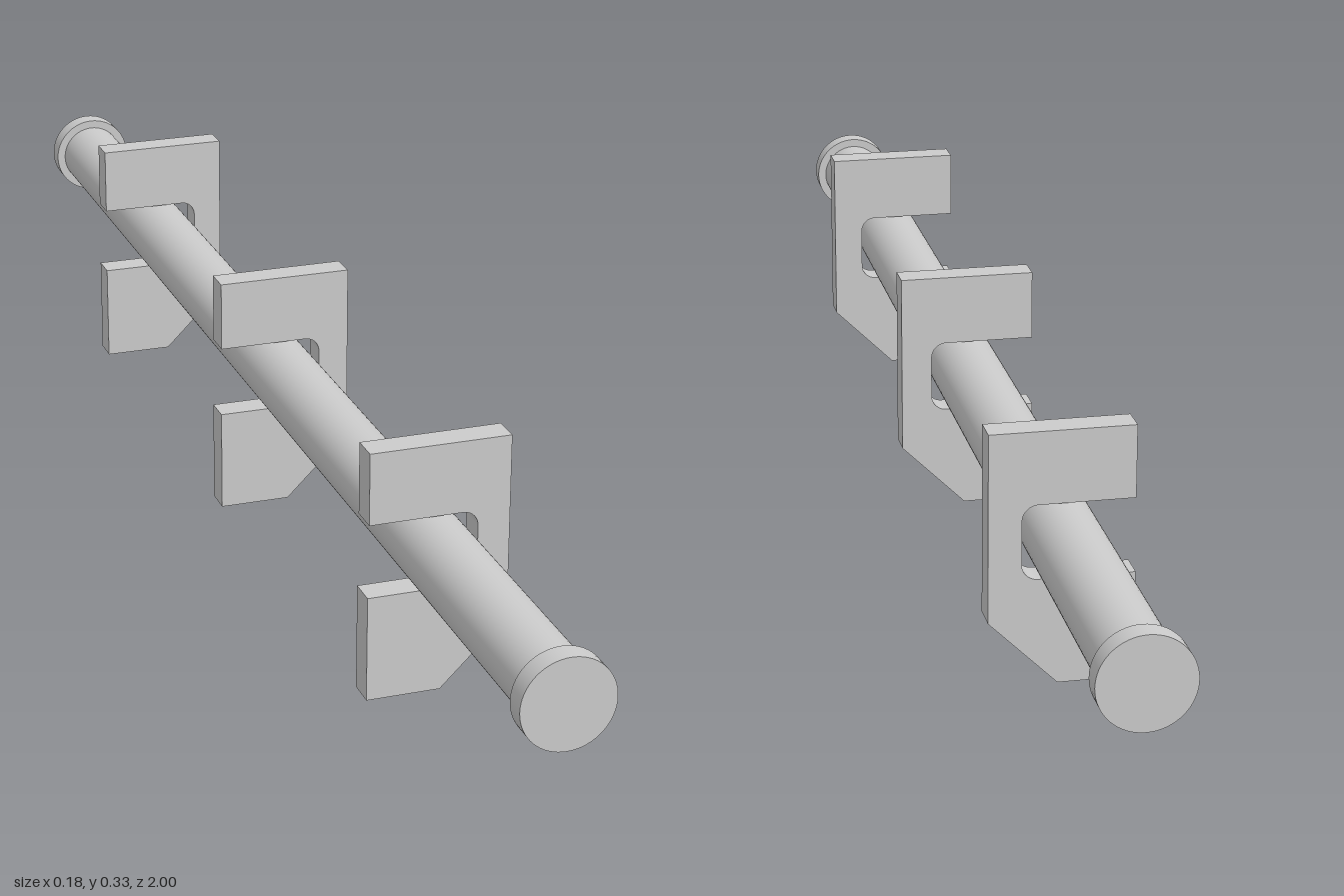
import * as THREE from 'three';

const AXIS_X = -0.003, AXIS_Y = 0.186;

export function createModel() {
  const group = new THREE.Group();
  const material = new THREE.MeshStandardMaterial({ color: 0xcccccc });

  // Round parts lying along z on the rod axis
  const addRound = (name, radius, length, z) => {
    const geometry = new THREE.CylinderGeometry(radius, radius, length, 64).rotateX(Math.PI / 2);
    const mesh = new THREE.Mesh(geometry, material);
    mesh.name = name;
    mesh.position.set(AXIS_X, AXIS_Y, z);
    group.add(mesh);
  };
  addRound('rod', 0.046, 1.96, 0);
  for (const side of [1, -1]) addRound(side > 0 ? 'frontCap' : 'backCap', 0.058, 0.028, side * 0.986);

  // Bracket plate: chamfered lower corner, open slot with rounded inner corners
  const r = 0.02, slotEnd = 0.049, slotLow = 0.138, slotHigh = 0.234;
  const plate = new THREE.Shape();
  plate.moveTo(-0.091, 0);
  plate.lineTo(0.004, 0);
  plate.lineTo(0.09, 0.085);
  plate.lineTo(0.09, 0.327);
  plate.lineTo(-0.09, 0.327);
  plate.lineTo(-0.09, slotHigh);
  plate.lineTo(slotEnd - r, slotHigh);
  plate.absarc(slotEnd - r, slotHigh - r, r, Math.PI / 2, 0, true);
  plate.lineTo(slotEnd, slotLow + r);
  plate.absarc(slotEnd - r, slotLow + r, r, 0, -Math.PI / 2, true);
  plate.lineTo(-0.091, slotLow);
  plate.closePath();

  const depth = 0.037;
  const plateGeometry = new THREE.ExtrudeGeometry(plate, { depth, bevelEnabled: false, curveSegments: 10 });
  plateGeometry.translate(0, 0, -depth / 2);
  [['frontBracket', 0.584], ['middleBracket', 0], ['backBracket', -0.584]].forEach(([name, z]) => {
    const mesh = new THREE.Mesh(plateGeometry, material);
    mesh.name = name;
    mesh.position.z = z;
    group.add(mesh);
  });

  return group;
}
